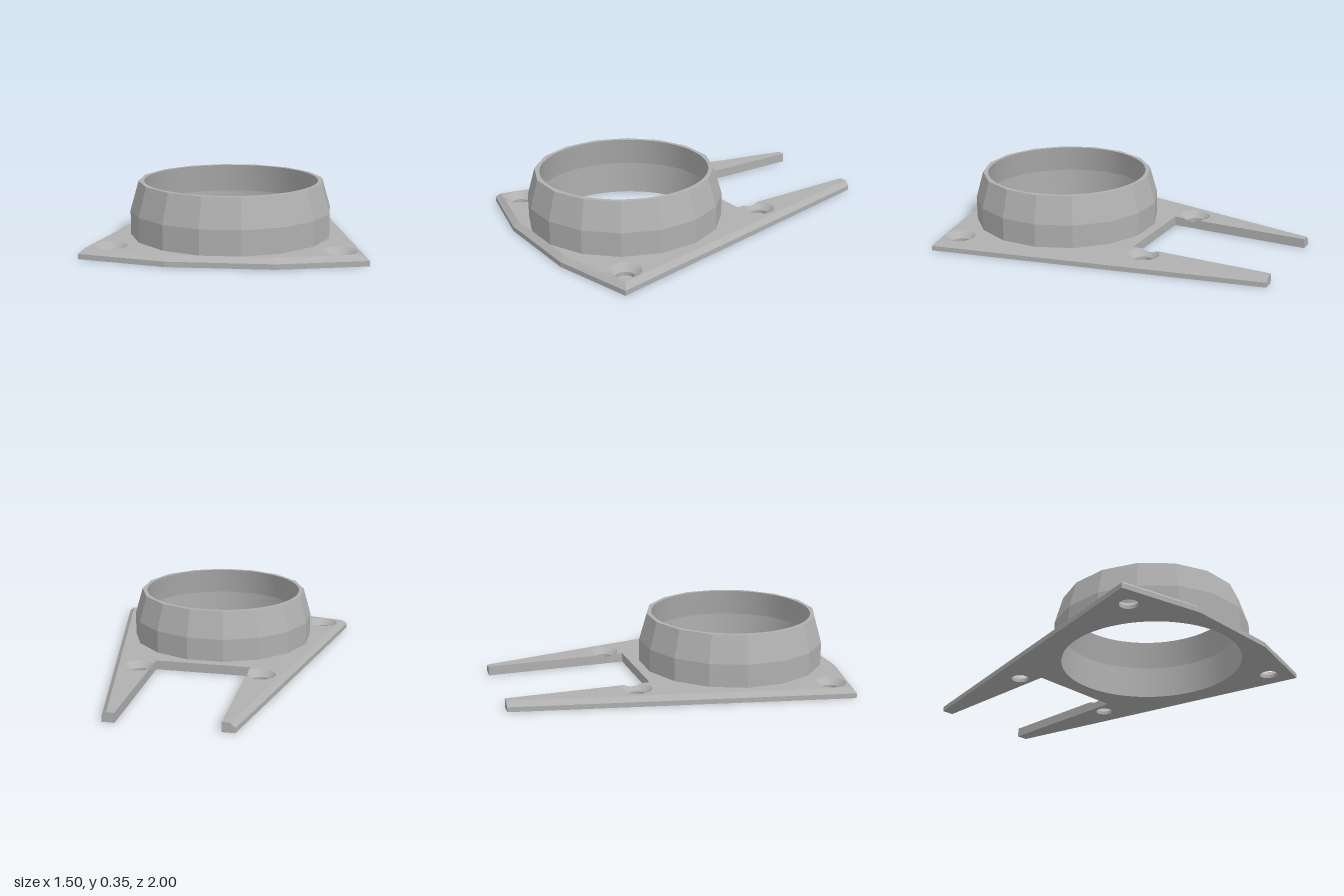
import * as THREE from 'three';

const TOP = 0.055, MID = 0.028;            // plate top and start of its chamfer
const RING_Z = 0.425;                      // centre of the collar
const SINK_R = 0.09, BORE_R = 0.05, SINK_Y = 0.02;
const SLOPE = (TOP - SINK_Y) / (SINK_R - BORE_R);
const SLOT_X = 0.28, BACK_X = 0.355, BACK_Z = -0.275;
const GAP = BACK_X - SLOT_X;               // back screw centre to slot wall
const T0 = Math.acos(GAP / SINK_R);
const sinkY = (r) => TOP - (SINK_R - r) * SLOPE;

const circle = (x, z, r, n = 64, start = 0) => Array.from({ length: n }, (_, i) => {
  const a = start + (i / n) * Math.PI * 2;
  return [x + r * Math.cos(a), z + r * Math.sin(a)];
});

// Horizontal face with holes, facing up or down
function face(outline, holes, y, up) {
  const pts = (list) => list.map(([x, z]) => new THREE.Vector2(x, up ? -z : z));
  const shape = new THREE.Shape(pts(outline));
  shape.holes = holes.map((h) => new THREE.Path(pts(h)));
  return new THREE.ShapeGeometry(shape).rotateX(up ? -Math.PI / 2 : Math.PI / 2).translate(0, y, 0);
}

// Closed band of flat quads between two loops of [x, y, z] points
function band(low, high) {
  const pos = [];
  low.forEach((a, i) => {
    const j = (i + 1) % low.length;
    pos.push(...a, ...low[j], ...high[j], ...a, ...high[j], ...high[i]);
  });
  const g = new THREE.BufferGeometry();
  g.setAttribute('position', new THREE.Float32BufferAttribute(pos, 3));
  g.computeVertexNormals();
  return g;
}

const lathe = (pts, n, start = 0) =>
  new THREE.LatheGeometry(pts.map(([r, y]) => new THREE.Vector2(r, y)), n, start);

function flat(g) {
  const out = g.toNonIndexed();
  out.computeVertexNormals();
  return out;
}

export function createModel() {
  const model = new THREE.Group();
  model.name = 'ringMountBracket';
  const grey = new THREE.MeshStandardMaterial({ color: 0xb0b0b0, side: THREE.DoubleSide });
  grey.name = 'grey';
  const add = (parent, name, geometry) => {
    const m = new THREE.Mesh(geometry, grey);
    m.name = name;
    parent.add(m);
    return m;
  };
  const group = (name) => {
    const g = new THREE.Group();
    g.name = name;
    model.add(g);
    return g;
  };

  // Half outline from the front edge round to the slot: lower x, z, then upper x, z
  const corners = [
    [0.28, 1, 0.275, 0.968], [0.75, 0.89, 0.717, 0.868],
    [0.35, -1, 0.323, -1], [SLOT_X, -1, SLOT_X, -1],
  ];
  const slotEnd = [SLOT_X, -0.175];
  const notch = [], arc = [];
  const N = 12;
  for (let i = 0; i <= N; i++) {
    const t = -T0 + (2 * T0 * i) / N;
    notch.push([SLOT_X, BACK_Z + GAP * Math.tan(t), sinkY(GAP / Math.cos(t))]);
  }
  for (let i = 0; i <= 40; i++) {
    const s = -T0 - ((2 * Math.PI - 2 * T0) * i) / 40;
    arc.push([BACK_X - SINK_R * Math.cos(s), BACK_Z + SINK_R * Math.sin(s)]);
  }
  const mirrored = (half) => [...half, ...half.map(([x, ...rest]) => [-x, ...rest]).reverse()];
  const lower = mirrored([...corners.map(([x, z]) => [x, z]), ...notch.map(([x, z]) => [x, z]), slotEnd]);
  const rim = mirrored([
    ...corners.map(([, , x, z]) => [x, TOP, z]),
    ...notch.map(([x, z, y]) => [x, y, z]), [slotEnd[0], TOP, slotEnd[1]],
  ]);
  const topOutline = mirrored([...corners.map(([, , x, z]) => [x, z]), ...arc, slotEnd]);

  // Forked base plate
  const plate = group('basePlate');
  const at = (y) => lower.map(([x, z]) => [x, y, z]);
  const ringHole = circle(0, RING_Z, 0.505);
  const frontHoles = [[0.6, 0.8], [-0.6, 0.8]];
  const backHoles = [[BACK_X, BACK_Z], [-BACK_X, BACK_Z]];
  const holes = [...frontHoles, ...backHoles];
  add(plate, 'plateBottom', face(lower,
    [ringHole, ...holes.map(([x, z]) => circle(x, z, BORE_R, 32))], 0, false));
  add(plate, 'plateTop', face(topOutline,
    [ringHole, ...frontHoles.map(([x, z]) => circle(x, z, SINK_R, 32))], TOP, true));
  add(plate, 'plateEdge', band(at(0), at(MID)));
  add(plate, 'plateChamfer', band(at(MID), rim));

  // Countersunk screw holes; the back ones break through the slot wall
  holes.forEach(([x, z]) => {
    const hole = group('screwHole');
    hole.position.set(x, 0, z);
    add(hole, 'screwBore', lathe([[BORE_R, SINK_Y], [BORE_R, 0]], 32));
    const sink = lathe([[SINK_R, TOP], [BORE_R, SINK_Y]], 64);
    if (z < 0) {
      const p = sink.attributes.position;
      for (let i = 0; i < p.count; i++) {
        const inward = -Math.sign(x) * p.getX(i);
        if (inward > GAP) {
          const k = GAP / inward;
          p.setXYZ(i, p.getX(i) * k, sinkY(SINK_R * k), p.getZ(i) * k);
        }
      }
    }
    add(hole, 'countersink', sink);
  });

  // Sixteen-sided collar with a round, tapering bore
  const collar = group('collar');
  collar.position.z = RING_Z;
  const turn = Math.PI / 16;
  add(collar, 'collarOuter', flat(lathe([[0.553, 0.05], [0.553, 0.19], [0.507, 0.35]], 16, turn)));
  add(collar, 'collarRim', face(circle(0, 0, 0.507, 16, turn), [circle(0, 0, 0.476)], 0.35, true));
  add(collar, 'collarTaper', lathe([[0.476, 0.35], [0.505, 0.19]], 64));
  add(collar, 'collarBore', lathe([[0.505, 0.19], [0.505, 0]], 64));

  return model;
}
